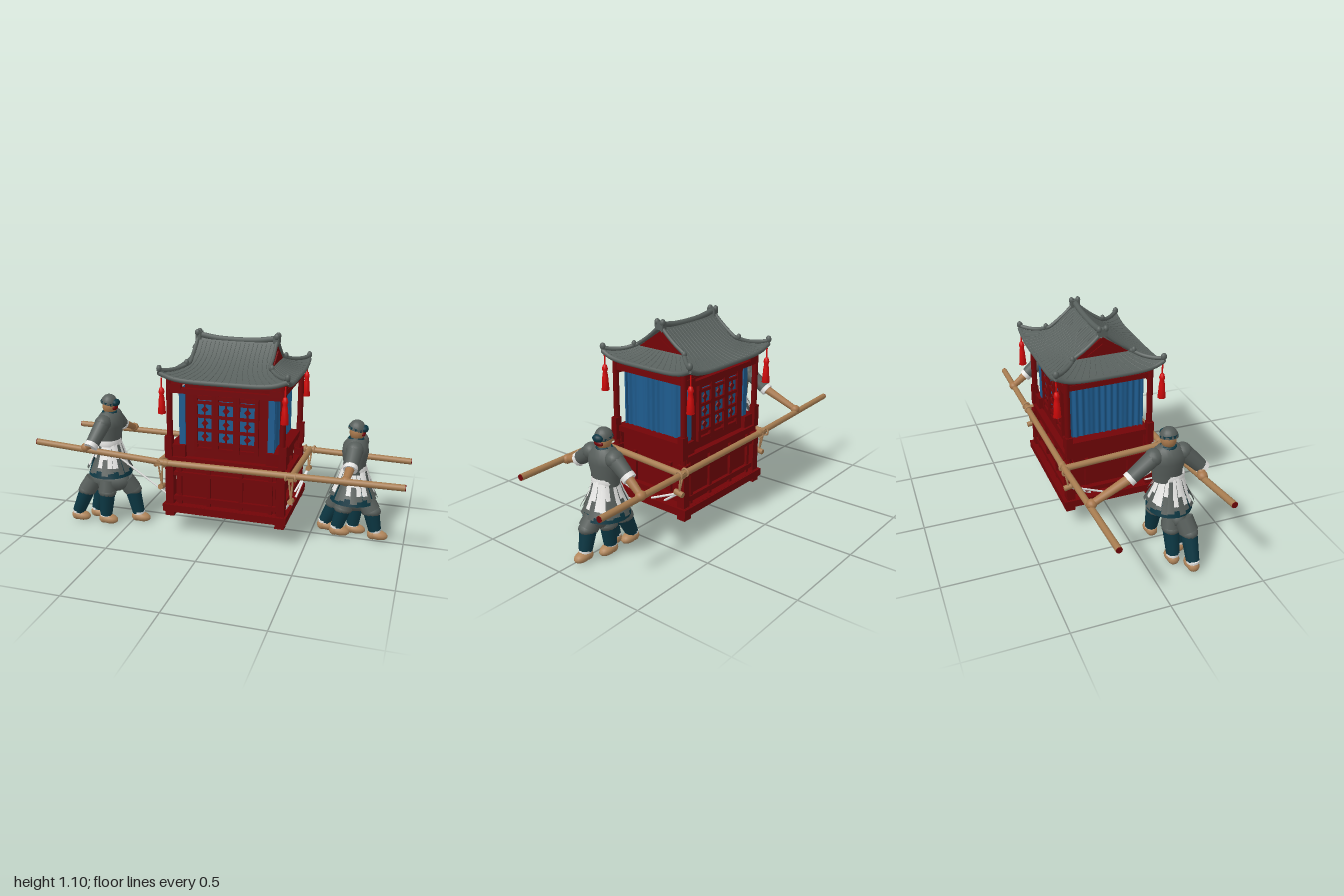
import * as THREE from 'three';
import { ParametricGeometry } from 'three/addons/geometries/ParametricGeometry.js';

const mat = (name, color, side = THREE.FrontSide) => {
  const m = new THREE.MeshStandardMaterial({ color, side });
  m.name = name;
  return m;
};
const V = (a) => new THREE.Vector3(...a);

export function createModel() {
  const model = new THREE.Group();
  model.name = 'sedanChair';
  const red = mat('lacquerRed', 0x720407), scarlet = mat('tasselRed', 0xd60a0a);
  const blue = mat('curtainBlue', 0x1e5c8f, THREE.DoubleSide);
  const tile = mat('roofGrey', 0x58605d, THREE.DoubleSide);
  const cloth = mat('clothGrey', 0x565d5a, THREE.DoubleSide);
  const teal = mat('tealCloth', 0x0c3743, THREE.DoubleSide);
  const white = mat('whiteCloth', 0xe6e6e4, THREE.DoubleSide);
  const wood = mat('bamboo', 0xa67c50), skin = mat('skin', 0xa8784c), straw = mat('straw', 0xb0855a);

  const add = (parent, name, geo, m) => {
    const mesh = new THREE.Mesh(geo, m);
    mesh.name = name;
    parent.add(mesh);
    return mesh;
  };
  const box = (p, name, m, [w, h, d], [x, y, z]) => {
    const b = add(p, name, new THREE.BoxGeometry(w, h, d), m);
    b.position.set(x, y, z);
    return b;
  };
  const rod = (p, name, m, a, b, ra, rb = ra) => {
    const A = V(a), d = V(b).sub(A);
    const r = add(p, name, new THREE.CylinderGeometry(rb, ra, d.length(), 10), m);
    r.quaternion.setFromUnitVectors(V([0, 1, 0]), d.clone().normalize());
    r.position.copy(A).addScaledVector(d, 0.5);
    return r;
  };
  const ball = (p, name, m, [x, y, z], [a, b, c]) => {
    const s = add(p, name, new THREE.SphereGeometry(1, 14, 10), m);
    s.position.set(x, y, z);
    s.scale.set(a, b, c);
    return s;
  };
  const tube = (p, name, m, pts, r) =>
    add(p, name, new THREE.TubeGeometry(new THREE.CatmullRomCurve3(pts.map(V)), 24, r, 8), m);

  // ---- cabin ----
  const cabin = new THREE.Group();
  cabin.name = 'cabin';
  cabin.position.set(0.068, 0, -0.018);
  cabin.rotation.x = -0.01;
  model.add(cabin);
  box(cabin, 'baseSlab', red, [0.66, 0.025, 0.51], [0, 0.168, 0]);
  box(cabin, 'lowerBox', red, [0.55, 0.25, 0.44], [0, 0.3, 0]);
  box(cabin, 'upperWall', red, [0.45, 0.46, 0.4], [0, 0.64, 0]);
  box(cabin, 'frieze', red, [0.62, 0.03, 0.47], [0, 0.865, 0]);
  for (const s of [-1, 1]) {
    box(cabin, 'baseBeam', red, [0.68, 0.04, 0.04], [0, 0.16, s * 0.245]);
    box(cabin, 'endBaseBeam', red, [0.04, 0.04, 0.53], [s * 0.32, 0.16, 0]);
    for (const t of [-1, 1]) {
      box(cabin, 'foot', red, [0.05, 0.04, 0.05], [s * 0.305, 0.133, t * 0.23]);
      rod(cabin, 'column', red, [s * 0.305, 0.17, t * 0.225], [s * 0.305, 0.88, t * 0.225], 0.016);
      box(cabin, 'cornerPost', red, [0.045, 0.24, 0.045], [s * 0.305, 0.29, t * 0.225]);
      box(cabin, 'railPost', red, [0.04, 0.12, 0.035], [s * 0.31, 0.5, t * 0.225]);
      box(cabin, 'railPanel', red, [0.08, 0.1, 0.025], [s * 0.26, 0.465, t * 0.215]);
      box(cabin, 'bracket', red, [0.07, 0.03, 0.03], [s * 0.27, 0.835, t * 0.225]);
      box(cabin, 'curtainReturn', blue, [0.034, 0.31, 0.008], [s * 0.241, 0.66, t * 0.205]);
    }
    // front and back walls
    const z = s * 0.225;
    box(cabin, 'lintel', red, [0.6, 0.028, 0.025], [0, 0.815, z]);
    box(cabin, 'sill', red, [0.6, 0.03, 0.035], [0, 0.435, z]);
    box(cabin, 'baseRail', red, [0.6, 0.025, 0.03], [0, 0.215, z]);
    box(cabin, 'midRail', red, [0.6, 0.02, 0.03], [0, 0.355, z]);
    for (const x of [-0.25, -0.09, 0.09, 0.25]) box(cabin, 'panelPost', red, [0.02, 0.24, 0.02], [x, 0.3, z]);
    // lattice doors
    for (const x of [-0.115, 0, 0.115]) {
      box(cabin, 'doorPane', blue, [0.085, 0.24, 0.006], [x, 0.645, s * 0.202]);
      for (const e of [-0.05, 0.05]) box(cabin, 'doorStile', red, [0.02, 0.31, 0.02], [x + e, 0.645, s * 0.208]);
      for (const y of [0.5, 0.535, 0.605, 0.68, 0.755, 0.785])
        box(cabin, 'doorRail', red, [0.1, 0.016, 0.018], [x, y, s * 0.207]);
      for (const y of [0.57, 0.642, 0.717]) {
        const d = box(cabin, 'latticeDiamond', red, [0.026, 0.026, 0.012], [x, y, s * 0.206]);
        d.rotation.z = Math.PI / 4;
        box(cabin, 'latticeBar', red, [0.007, 0.075, 0.012], [x, y, s * 0.206]);
      }
    }
    // curtained ends
    const x = s * 0.3;
    add(cabin, 'curtain', new ParametricGeometry((u, v, o) =>
      o.set(s * (0.25 + 0.008 * Math.sin(u * 75) * Math.sin(u * 7 + 1)), 0.5 + 0.32 * v, (u - 0.5) * 0.41), 90, 1), blue);
    box(cabin, 'endLintel', red, [0.025, 0.028, 0.45], [x, 0.835, 0]);
    box(cabin, 'endSill', red, [0.06, 0.03, 0.45], [s * 0.28, 0.5, 0]);
    box(cabin, 'endPanel', red, [0.03, 0.09, 0.44], [s * 0.265, 0.445, 0]);
    box(cabin, 'endMidRail', red, [0.03, 0.022, 0.45], [x, 0.36, 0]);
    box(cabin, 'endBaseRail', red, [0.03, 0.025, 0.45], [x, 0.215, 0]);
    for (const z2 of [-0.12, 0.12]) box(cabin, 'endPost', red, [0.02, 0.2, 0.02], [s * 0.28, 0.29, z2]);
  }

  // ---- hip-and-gable roof ----
  const roof = new THREE.Group();
  roof.name = 'roof';
  cabin.add(roof);
  const S0 = 0.15, S1 = 0.284;
  const hx = (s) => 0.215 + 0.12 * Math.max(0, (s - S0) / (S1 - S0));
  const ry = (s, e) => {
    const t = Math.max(0, (s - S0) / (S1 - S0));
    return 1.06 - s + 1.4 * s * s + 0.035 * t * t * Math.abs(e) ** 5;
  };
  const main = (k, u, s, dy = 0) => [u * hx(s), ry(s, u) + dy, k * s];
  const end = (k, v, s, dy = 0) => [k * hx(s), ry(s, v) + dy, v * s];
  const steps = (n) => Array.from({ length: n + 1 }, (_, i) => -1 + (2 * i) / n);
  for (const k of [-1, 1]) {
    for (const dy of [0, -0.02]) {
      add(roof, 'roofSlope', new ParametricGeometry((u, v, o) => o.set(...main(k, k * (2 * u - 1), S1 * (1 - v), dy)), 24, 16), tile);
      add(roof, 'roofEnd', new ParametricGeometry((u, v, o) => o.set(...end(k, k * (1 - 2 * u), S1 - (S1 - S0) * v, dy)), 24, 8), tile);
    }
    tube(roof, 'eaveEdge', tile, steps(12).map((u) => main(k, u, S1, -0.011)), 0.013);
    tube(roof, 'endEaveEdge', tile, steps(12).map((v) => end(k, v, S1, -0.011)), 0.013);
    // shallow tile ribs
    for (const u of steps(18)) tube(roof, 'tileRib', tile, [0.02, 0.1, 0.18, 0.25, 0.292].map((s) => main(k, u * 0.97, s)), 0.0022);
    for (const v of steps(14)) tube(roof, 'endTileRib', tile, [0.16, 0.2, 0.25, 0.292].map((s) => end(k, v * 0.97, s)), 0.0022);
    // gable boards
    for (const [w, h, x, y0] of [[0.142, 0.1, 0.204, 0.938], [0.085, 0.055, 0.21, 0.95]]) {
      const tri = new THREE.Shape([new THREE.Vector2(-w, 0), new THREE.Vector2(w, 0), new THREE.Vector2(0, h)]);
      const g = add(roof, 'gableBoard', new THREE.ExtrudeGeometry(tri, { depth: 0.012, bevelEnabled: false }), red);
      g.rotation.y = k * Math.PI / 2;
      g.position.set(k * x, y0, 0);
    }
    // ridge end ornament
    box(roof, 'ridgeEnd', tile, [0.03, 0.04, 0.05], [k * 0.212, 1.066, 0]);
    for (const z of [-0.018, 0.018]) ball(roof, 'ridgeFinial', tile, [k * 0.216, 1.083, z], [0.015, 0.018, 0.014]);
    // verge and hip ridges, tassels
    for (const j of [-1, 1]) {
      tube(roof, 'vergeRidge', tile, [0, 0.05, 0.1, 0.15, 0.165].map((s) => main(j, k, s, 0.008)), 0.01);
      tube(roof, 'hipRidge', tile, [0.15, 0.2, 0.25, 0.29].map((s) => main(j, k, s, 0.006)), 0.011);
      ball(roof, 'vergeFinial', tile, main(j, k, 0.165, 0.016), [0.013, 0.018, 0.013]);
      ball(roof, 'hipFinial', tile, main(j, k, 0.284, 0.012), [0.014, 0.02, 0.016]);
      const t = new THREE.Group();
      t.name = 'tassel';
      t.position.set(k * 0.325, 0.7, j * 0.283);
      roof.add(t);
      rod(t, 'tasselCord', scarlet, [0, 0.1, 0], [0, 0.19, 0], 0.004);
      add(t, 'tasselSkirt', new THREE.LatheGeometry([[0, 0], [0.021, 0], [0.015, 0.08], [0.011, 0.1], [0.016, 0.115], [0.01, 0.135], [0, 0.14]]
        .map((q) => new THREE.Vector2(...q)), 12), scarlet);
    }
  }
  tube(roof, 'ridge', tile, [[-0.21, 1.07, 0], [-0.1, 1.054, 0], [0.1, 1.054, 0], [0.21, 1.07, 0]], 0.016);

  // ---- carrying poles ----
  const poles = new THREE.Group();
  poles.name = 'poles';
  model.add(poles);
  for (const [a, b, c] of [
    [[-0.97, 0.492, 0.31], [-0.24, 0.43, 0.262], [0.997, 0.425, 0.235]],
    [[-0.997, 0.415, -0.267], [-0.24, 0.4, -0.287], [0.997, 0.375, -0.285]]]) {
    rod(poles, 'pole', wood, a, b, 0.017);
    rod(poles, 'pole', wood, b, c, 0.017);
    ball(poles, 'poleJoint', wood, b, [0.03, 0.02, 0.02]);
    for (const [p, s] of [[a, -1], [c, 1]]) rod(poles, 'poleEndCap', red, p, [p[0] + s * 0.003, p[1], p[2]], 0.016);
  }
  rod(poles, 'crossPole', wood, [0.43, 0.415, 0.26], [0.43, 0.385, -0.3], 0.017);
  rod(poles, 'crossPole', wood, [-0.28, 0.43, 0.28], [-0.28, 0.4, -0.3], 0.017);
  for (const x of [-0.28, 0.43]) for (const s of [-1, 1]) {
    const z = s > 0 ? 0.245 : -0.285, y = s > 0 ? 0.42 : 0.39;
    for (const e of [-0.025, 0.025]) {
      const lash = add(poles, 'lashing', new THREE.TorusGeometry(0.019, 0.006, 6, 12), straw);
      lash.position.set(x + e, y, z);
      lash.rotation.y = Math.PI / 2;
    }
    for (const e of [-0.012, 0.012]) rod(poles, 'hangingRope', straw, [x + e, y, z], [x, 0.28, z * 0.93], 0.005);
    rod(poles, 'ropeToggle', wood, [x, 0.275, z * 0.93 - 0.025], [x, 0.285, z * 0.93 + 0.025], 0.015);
    for (const [e, f] of [[0, 0.2], [0.02, 0.45]])
      rod(poles, 'ropeCord', white, [x, 0.28, z * 0.93], [x - Math.sign(x) * (0.03 + e), 0.18, z * f], 0.006);
  }
  rod(poles, 'ropeStay', white, [-0.53, 0.41, 0.21], [-0.26, 0.21, 0.18], 0.005);

  // ---- carriers ----
  const carrier = (name, { x, z, h, legZ, shoes, arms }) => {
    const c = new THREE.Group();
    c.name = name;
    model.add(c);
    const lathe = (n, m, pts, sz, pz, start = 0, len = Math.PI * 2, seg = 20) => {
      const l = add(c, n, new THREE.LatheGeometry(pts.map((q) => new THREE.Vector2(...q)), seg, start, len), m);
      l.position.set(x, h, pz);
      l.scale.z = sz;
    };
    lathe('tunic', cloth, [[0.058, 0.38], [0.06, 0.43], [0.07, 0.49], [0.066, 0.53], [0.045, 0.56], [0.02, 0.575]], 1.3, z);
    // pleated skirt with teal hem, pale apron strips of uneven length on top
    const hemZ = (z + legZ) / 2;
    lathe('skirtHem', teal, [[0.1, 0.29], [0.122, 0.215]], 0.95, hemZ);
    for (let i = 0; i < 24; i++) {
      const f = i % 2 ? 1 : 1.06, a = (i / 24) * Math.PI * 2, y = i % 3 ? 0.275 : 0.32;
      lathe('skirtPleat', cloth, [[0.058, 0.41], [0.078 * f, 0.34], [0.124 * f, 0.235 + 0.012 * (i % 3)]], 0.95, hemZ, a, Math.PI / 11, 2);
      if (i % 6 !== 4) lathe('apronStrip', white, [[0.063, 0.412], [0.085 * f, 0.34], [(0.085 + (0.34 - y) * 0.46) * f, y]], 0.95, hemZ, a, Math.PI / 12.5, 2);
    }
    lathe('sash', white, [[0.064, 0.385], [0.067, 0.4], [0.063, 0.418]], 1.1, hemZ);
    // head and cap
    const hy = 0.605 + h;
    rod(c, 'neck', skin, [x, hy - 0.06, z], [x, hy - 0.02, z], 0.024);
    ball(c, 'head', skin, [x + 0.003, hy - 0.008, z], [0.04, 0.046, 0.039]);
    const cap = add(c, 'cap', new THREE.SphereGeometry(0.046, 16, 8, 0, Math.PI * 2, 0, Math.PI * 0.5), cloth);
    cap.position.set(x, hy + 0.008, z);
    cap.scale.y = 1.12;
    cap.rotation.z = -0.15;
    rod(c, 'capBand', teal, [x - 0.001, hy + 0.008, z], [x + 0.002, hy + 0.02, z], 0.046);
    ball(c, 'capKnot', teal, [x + 0.04, hy + 0.014, z], [0.022, 0.02, 0.03]);
    ball(c, 'capRibbon', red, [x + 0.036, hy - 0.014, z], [0.012, 0.014, 0.028]);
    const collar = add(c, 'collar', new THREE.TorusGeometry(0.033, 0.01, 8, 16), teal);
    collar.rotation.x = Math.PI / 2;
    collar.position.set(x, hy - 0.044, z);
    // arms: shoulder, cuff, hand
    for (const [a, b, d] of arms) {
      ball(c, 'shoulder', cloth, a, [0.046, 0.044, 0.046]);
      rod(c, 'sleeve', cloth, a, b, 0.044, 0.036);
      const A = V(a), B = V(b), cuffEnd = B.clone().add(B.clone().sub(A).setLength(0.024));
      rod(c, 'cuff', white, b, cuffEnd.toArray(), 0.037);
      rod(c, 'forearm', skin, b, d, 0.025, 0.018);
      ball(c, 'hand', skin, d, [0.028, 0.025, 0.026]);
    }
    // baggy trousers, leggings and shoes
    const hip = 0.24 + h * 0.5;
    ball(c, 'trouserSeat', cloth, [x, hip - 0.025, legZ], [0.12, 0.065, 0.062]);
    for (const [sx, sz] of shoes) {
      const top = [x + (sx - x) * 0.5, hip - 0.02, legZ + (sz - legZ) * 0.6];
      const knee = [x + (sx - x) * 0.72, 0.17 + h * 0.35, sz];
      rod(c, 'trouserLeg', cloth, top, knee, 0.05, 0.05);
      ball(c, 'trouserGather', cloth, knee, [0.052, 0.034, 0.046]);
      rod(c, 'legging', teal, knee, [sx - 0.015, 0.06, sz], 0.044, 0.034);
      rod(c, 'ankleWrap', white, [sx - 0.015, 0.055, sz], [sx - 0.015, 0.068, sz], 0.034);
      const shoe = ball(c, 'shoe', straw, [sx, 0.035, sz], [0.056, 0.027, 0.034]);
      shoe.rotation.z = -0.12;
      ball(c, 'heel', straw, [sx - 0.026, 0.036, sz], [0.03, 0.03, 0.031]);
    }
  };
  carrier('rightEndCarrier', {
    x: 0.715, z: -0.045, h: 0, legZ: -0.045,
    shoes: [[0.58, -0.065], [0.655, -0.015], [0.735, -0.065], [0.86, -0.02]],
    arms: [[[0.72, 0.525, 0.035], [0.715, 0.465, 0.12], [0.705, 0.425, 0.23]],
      [[0.73, 0.525, -0.125], [0.73, 0.465, -0.2], [0.735, 0.39, -0.29]]],
  });
  carrier('leftEndCarrier', {
    x: -0.615, z: 0.135, h: 0.08, legZ: 0.17,
    shoes: [[-0.785, 0.21], [-0.7, 0.14], [-0.615, 0.21], [-0.45, 0.13]],
    arms: [[[-0.62, 0.6, 0.21], [-0.645, 0.51, 0.3], [-0.69, 0.48, 0.29]],
      [[-0.625, 0.6, 0.055], [-0.635, 0.52, -0.06], [-0.65, 0.425, -0.27]]],
  });
  return model;
}
